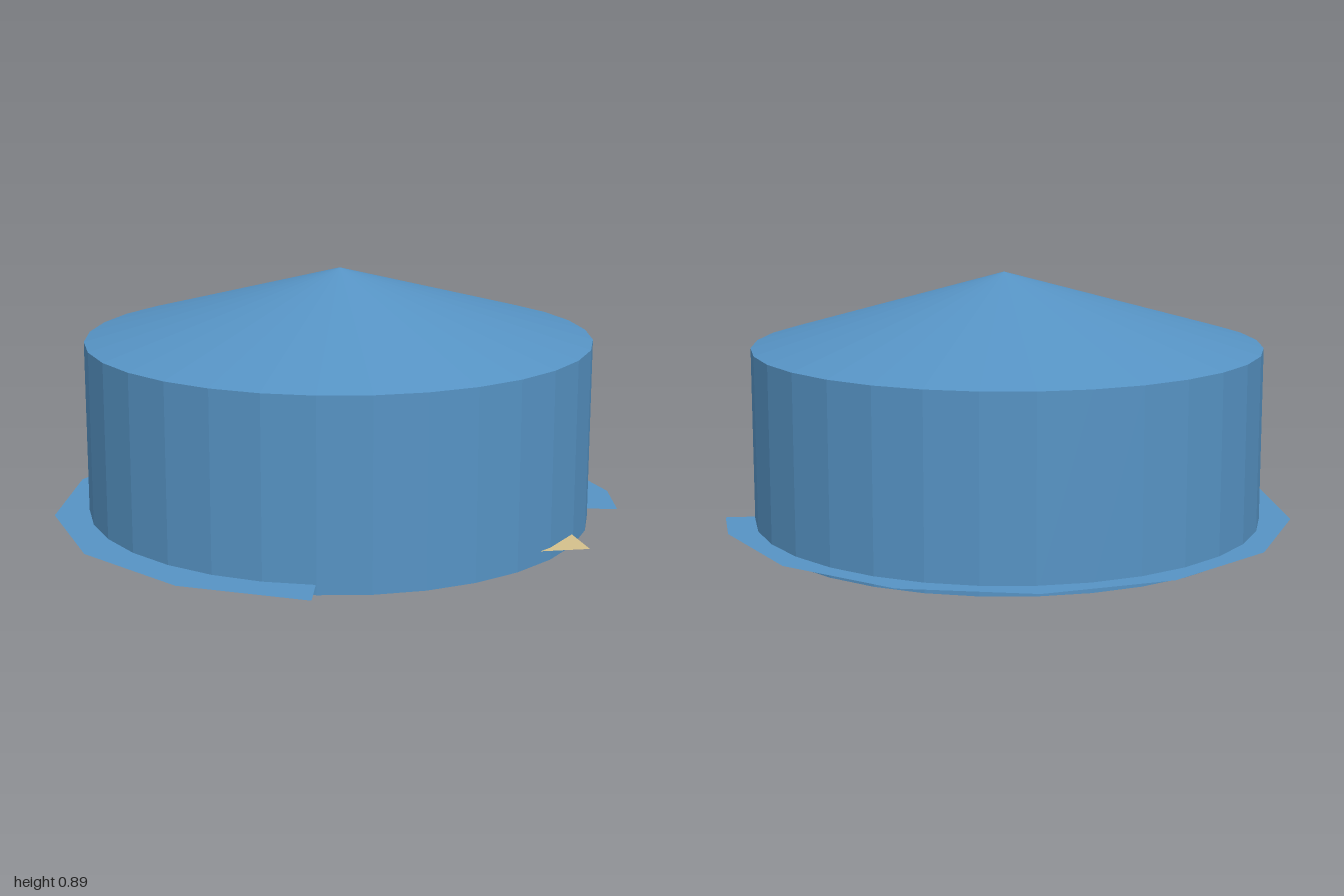
import * as THREE from 'three';

export function createModel() {
  const model = new THREE.Group();
  const opts = { side: THREE.DoubleSide, flatShading: true };
  const blue = new THREE.MeshStandardMaterial({ name: 'blue', color: 0x5693c4, ...opts });
  const sand = new THREE.MeshStandardMaterial({ name: 'sand', color: 0xd4c08c, ...opts });

  const add = (name, geometry, material, x, y, z) => {
    const mesh = new THREE.Mesh(geometry, material);
    mesh.name = name;
    mesh.position.set(x, y, z);
    model.add(mesh);
  };
  // Flat sheet in the ground plane from [x, z] corners
  const sheet = (points) => {
    const shape = new THREE.Shape(points.map(([x, z]) => new THREE.Vector2(x, -z)));
    return new THREE.ShapeGeometry(shape).rotateX(-Math.PI / 2);
  };

  const sides = 32, radius = 0.888, wallHeight = 0.64, roofHeight = 0.25;
  const cx = -0.007, cz = -0.028;

  // Round wall, open at the bottom
  add('wall', new THREE.CylinderGeometry(radius, radius, wallHeight, sides, 1, true),
    blue, cx, wallHeight / 2, cz);

  // Shallow conical roof with its tip slightly towards the front
  const roof = new THREE.ConeGeometry(radius, roofHeight, sides, 1, true);
  const p = roof.attributes.position;
  for (let i = 0; i < p.count; i++) {
    if (p.getY(i) > 0) p.setXYZ(i, -cx, p.getY(i), 0.01 - cz);
  }
  roof.computeVertexNormals();
  add('roof', roof, blue, cx, wallHeight + roofHeight / 2, cz);

  // Three-quarter ring apron: fourteen-sided rim, open between +z and +x
  const step = (Math.PI * 2) / 14;
  const rim = (r) => {
    const points = [];
    for (let i = 0; i <= 10; i++) {
      points.push([-0.01 - r * Math.sin(i * step), r * Math.cos(i * step)]);
    }
    points.push([r * 0.985, 0]);
    return points;
  };
  add('apron', sheet([...rim(1), ...rim(0.28).reverse()]), blue, 0, 0.034, 0);

  // Turned four-cornered floor, one corner sticking out through the wall
  add('floor', sheet([[0.86, 0.47], [-0.41, 0.76], [-0.78, -0.42], [0.42, -0.79]]),
    sand, 0, 0.042, 0);

  return model;
}
